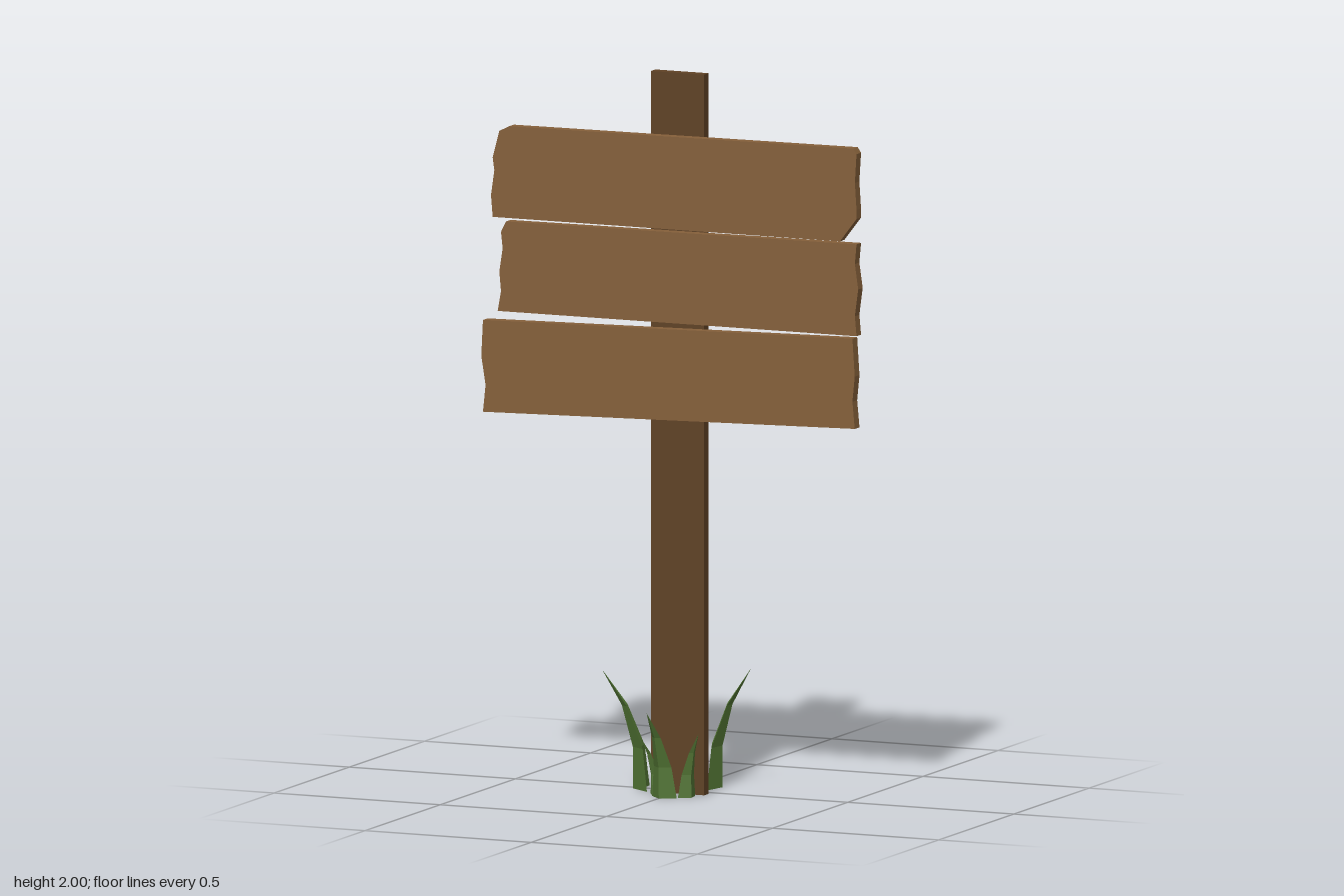
import * as THREE from 'three';

const mat = (color) => new THREE.MeshStandardMaterial({ color, roughness: 0.9, flatShading: true });

const THICK = 0.03;

// Plank outlines, clockwise from the upper left corner, with worn ends
const PLANKS = [
  { name: 'topPlank', z: 0.07, turn: 0, outline: [
    [-0.48, 1.825], [0.555, 1.83], [0.565, 1.815], [0.56, 1.735], [0.565, 1.66], [0.565, 1.635],
    [0.515, 1.57], [-0.53, 1.57], [-0.535, 1.63], [-0.525, 1.7], [-0.53, 1.735], [-0.51, 1.81]] },
  { name: 'middlePlank', z: 0.07, turn: 0, outline: [
    [-0.49, 1.56], [0.565, 1.565], [0.56, 1.51], [0.57, 1.44], [0.56, 1.365], [0.565, 1.31],
    [-0.515, 1.31], [-0.505, 1.365], [-0.51, 1.42], [-0.5, 1.485], [-0.505, 1.53]] },
  { name: 'bottomPlank', z: 0.071, turn: -0.025, outline: [
    [-0.565, 1.28], [0.56, 1.305], [0.567, 1.2], [0.56, 1.13], [0.567, 1.055],
    [-0.565, 1.025], [-0.557, 1.1], [-0.57, 1.18]] },
];

// Grass blades: base centre (x, z), tip (x, y, z), base width
const BLADES = [
  { base: [-0.045, -0.093], tip: [-0.055, 0.33, -0.22], width: 0.11 },
  { base: [0.04, -0.083], tip: [0.15, 0.33, -0.13], width: 0.115 },
  { base: [-0.098, 0.005], tip: [-0.217, 0.33, 0.05], width: 0.115 },
  { base: [-0.035, 0.088], tip: [-0.06, 0.165, 0.142], width: 0.05 },
  { base: [0.058, 0.095], tip: [0.105, 0.18, 0.12], width: 0.06 },
  { base: [0.005, 0.125], tip: [-0.008, 0.245, 0.215], width: 0.08 },
];

function plankGeometry(outline) {
  const shape = new THREE.Shape(outline.map(([x, y]) => new THREE.Vector2(x, y)));
  const geo = new THREE.ExtrudeGeometry(shape, { depth: THICK, bevelEnabled: false });
  return geo.translate(0, 0, -THICK / 2);
}

// A creased blade: a V-shaped section that tapers and bends outwards to a point
function bladeGeometry({ base, tip, width }) {
  const lean = new THREE.Vector2(tip[0] - base[0], tip[2] - base[1]);
  const reach = lean.length();
  const out = lean.normalize();
  const levels = [0, 0.35, 0.7, 1];
  const pos = [];
  const index = [];
  levels.forEach((t) => {
    const w = width * (1 - Math.pow(t, 1.2));
    const bend = reach * Math.pow(t, 2.2);
    // Left corner, outer crease, right corner, inner crease: [sideways, outwards]
    for (const [s, o] of [[-0.5, 0], [0, 0.36], [0.5, 0], [0, 0.12]]) {
      const d = bend + o * w;
      pos.push(base[0] + out.x * d + out.y * s * w, tip[1] * t, base[1] + out.y * d - out.x * s * w);
    }
  });
  for (let l = 0; l < levels.length - 1; l++) {
    for (let i = 0; i < 4; i++) {
      const a = l * 4 + i;
      const b = l * 4 + ((i + 1) % 4);
      index.push(a, b, b + 4);
      if (l < levels.length - 2) index.push(a, b + 4, a + 4);
    }
  }
  index.push(0, 3, 1, 3, 2, 1); // foot
  const geo = new THREE.BufferGeometry();
  geo.setAttribute('position', new THREE.Float32BufferAttribute(pos, 3));
  geo.setIndex(index);
  const flat = geo.toNonIndexed();
  flat.computeVertexNormals();
  return flat;
}

export function createModel() {
  const group = new THREE.Group();
  group.name = 'woodenSign';
  const add = (name, geo, material, parent = group) => {
    const mesh = new THREE.Mesh(geo, material);
    mesh.name = name;
    parent.add(mesh);
    return mesh;
  };

  // Post
  const post = add('post', new THREE.BoxGeometry(0.16, 2, 0.03), mat(0x5f4124));
  post.position.set(0.011, 1, 0.036);

  // Planks
  const plankMat = mat(0x85603a);
  for (const { name, z, turn, outline } of PLANKS) {
    const plank = add(name, plankGeometry(outline), plankMat);
    plank.position.z = z;
    plank.rotation.y = turn;
  }

  // Grass around the foot of the post
  const grass = new THREE.Group();
  grass.name = 'grass';
  group.add(grass);
  const grassMat = mat(0x527534);
  BLADES.forEach((blade, i) => add(`grassBlade${i + 1}`, bladeGeometry(blade), grassMat, grass));

  return group;
}
